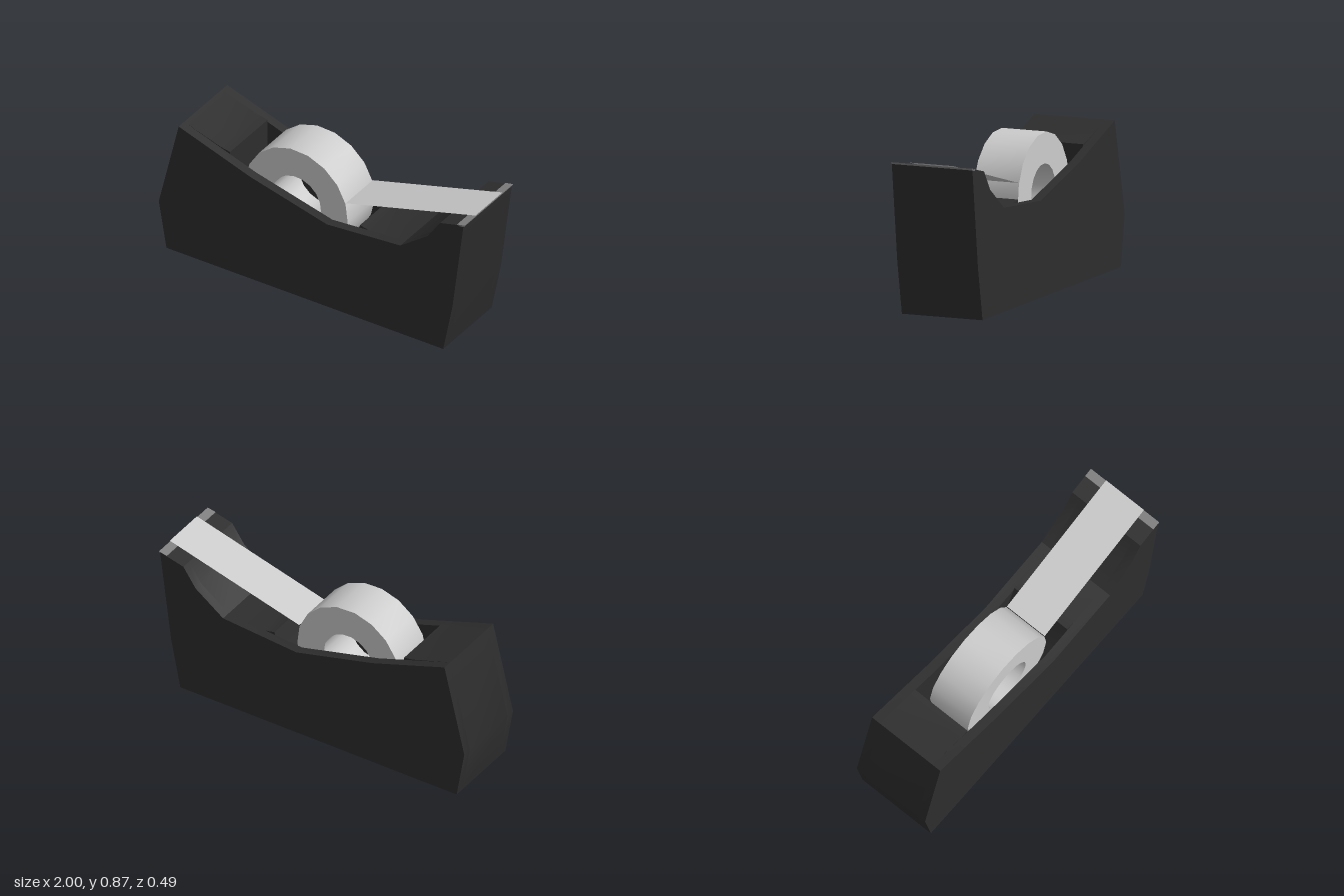
import * as THREE from 'three';
import { toCreasedNormals } from 'three/addons/utils/BufferGeometryUtils.js';

const paint = (name, color, extra = {}) => {
  const m = new THREE.MeshStandardMaterial({ color, ...extra });
  m.name = name;
  return m;
};

// Extrudes an x/y outline from z0 to z1, keeping corners sharp
function slab(name, points, z0, z1, material, hole) {
  const shape = new THREE.Shape(points.map(([x, y]) => new THREE.Vector2(x, y)));
  if (hole) shape.holes.push(new THREE.Path(hole.map(([x, y]) => new THREE.Vector2(x, y))));
  const geo = new THREE.ExtrudeGeometry(shape, { depth: z1 - z0, bevelEnabled: false });
  geo.translate(0, 0, z0);
  const mesh = new THREE.Mesh(toCreasedNormals(geo, 0.45), material);
  mesh.name = name;
  return mesh;
}

// Regular polygon approximating a circle
function ring(cx, cy, r, sides, phase) {
  return Array.from({ length: sides }, (_, i) => {
    const a = phase + (i / sides) * Math.PI * 2;
    return [cx + r * Math.cos(a), cy + r * Math.sin(a)];
  });
}

export function createModel() {
  const model = new THREE.Group();
  model.name = 'tapeDispenser';
  const black = paint('blackPlastic', 0x2d2d2d);
  const tape = paint('tape', 0xcccccc, { side: THREE.DoubleSide });
  const metal = paint('cutterMetal', 0x808080);

  const halfW = 0.243, pocketW = 0.188, tapeW = 0.135;

  // Outline of the body, split around the pocket opening
  const lower = [[-1, 0.29], [-0.95, 0], [0.86, 0], [0.92, 0.3], [0.993, 0.863]];
  const nose = [[0.84, 0.825], [0.76, 0.71], [0.58, 0.58]];
  const heel = [[-0.87, 0.83]];
  const saddle = [[0.1, 0.542], [-0.4, 0.67]];
  // Pocket with slightly raised rims at both ends
  const pocket = [[0.34, 0.56], [0.28, 0.573], [0.19, 0.32], [0.08, 0.17],
    [-0.42, 0.17], [-0.57, 0.42], [-0.57, 0.742], [-0.63, 0.753]];

  const body = new THREE.Group();
  body.name = 'body';
  const side = [...lower, ...nose, ...saddle, ...heel];
  body.add(
    slab('frontWall', side, pocketW, halfW, black),
    slab('backWall', side, -halfW, -pocketW, black),
    slab('bodyCore', [...lower, ...nose, ...pocket, ...heel], -pocketW, pocketW, black));
  model.add(body);

  // Cutter strip along the nose
  model.add(slab('cutter', [[0.95, 0.845], [0.995, 0.855], [1, 0.866], [0.95, 0.856]],
    -halfW, halfW, metal));

  // Tape roll
  const cx = -0.17, cy = 0.535, phase = THREE.MathUtils.degToRad(17);
  model.add(slab('tapeRoll', ring(cx, cy, 0.335, 18, phase), -tapeW, tapeW, tape,
    ring(cx, cy, 0.16, 18, phase)));

  // Loose tape running from the roll to the cutter
  const x0 = 0.152, y0 = 0.64, x1 = 1, y1 = 0.872;
  const strip = new THREE.PlaneGeometry(Math.hypot(x1 - x0, y1 - y0), tapeW * 2);
  strip.rotateX(-Math.PI / 2);
  strip.rotateZ(Math.atan2(y1 - y0, x1 - x0));
  strip.translate((x0 + x1) / 2, (y0 + y1) / 2, 0);
  const loose = new THREE.Mesh(strip, tape);
  loose.name = 'looseTape';
  model.add(loose);

  return model;
}
